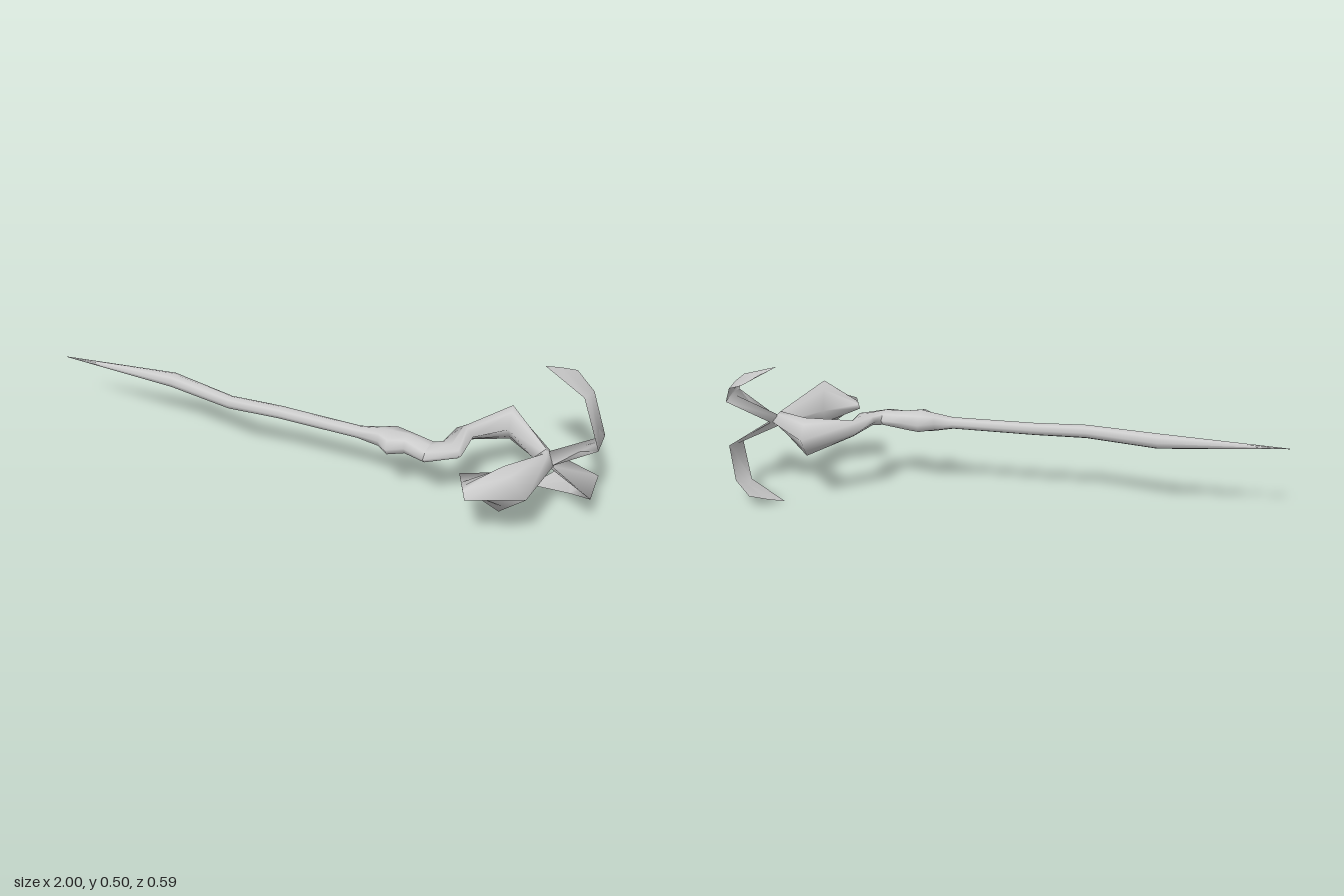
import * as THREE from 'three';

const AXIS_Y = 0.256;

// Skin a list of equal-sized rings of [x, y, z] points, closed or as an open strip
function loft(rings, closed = true) {
  const n = rings[0].length, index = [];
  for (let i = 0; i < rings.length - 1; i++) {
    for (let j = 0; j < (closed ? n : n - 1); j++) {
      const a = i * n + j, b = i * n + (j + 1) % n;
      index.push(a, b, a + n, b, b + n, a + n);
    }
  }
  const g = new THREE.BufferGeometry();
  g.setAttribute('position', new THREE.Float32BufferAttribute(rings.flat(2), 3));
  g.setIndex(index);
  g.computeVertexNormals();
  return g;
}

// Eight-sided ring between two side points in plan, with half height h
// and an optional ridge position c; a sharp ring is a diamond, otherwise round
function ring([ax, az, bx, bz, h, cx = (ax + bx) / 2, cz = (az + bz) / 2], sharp) {
  const side = sharp ? 0.3 : Math.SQRT1_2, rise = sharp ? 0.7 : Math.SQRT1_2;
  return Array.from({ length: 8 }, (_, j) => {
    const k = j % 4 === 0 ? 1 : j % 2 ? side : 0;
    const y = j % 4 === 0 ? 0 : j % 2 ? rise : 1;
    const [px, pz] = j < 2 || j > 6 ? [ax, az] : [bx, bz];
    return [cx + (px - cx) * k, AXIS_Y + (j < 4 ? -h : h) * y, cz + (pz - cz) * k];
  });
}

export function createModel() {
  const group = new THREE.Group();
  const grey = new THREE.MeshStandardMaterial({ color: 0xcccccc, side: THREE.DoubleSide });
  grey.name = 'plain grey';

  const add = (name, geometry) => {
    const mesh = new THREE.Mesh(geometry, grey);
    mesh.name = name;
    group.add(mesh);
  };

  // Long tapering shaft with a knot near the head
  add('shaft', loft([
    [-1, 0.066, -1, 0.064, 0.001],
    [-0.55, 0.07, -0.55, 0.016, 0.028],
    [-0.29, 0.112, -0.29, 0.068, 0.025],
    [-0.1, 0.098, -0.1, 0.052, 0.023],
    [0.2, 0.097, 0.2, 0.052, 0.022],
    [0.28, 0.102, 0.265, 0.04, 0.035],
    [0.32, 0.14, 0.32, 0.01, 0.042],
    [0.375, 0.107, 0.375, 0.025, 0.037],
    [0.455, 0.14, 0.465, 0.037, 0.028],
  ].map((r) => ring(r, false))));

  // Crook that swings back and around
  add('crook', loft([
    [0.455, 0.14, 0.465, 0.037, 0.028],
    [0.567, 0.07, 0.482, 0.02, 0.022],
    [0.57, -0.053, 0.5, -0.085, 0.03],
    [0.67, -0.145, 0.665, -0.243, 0.071, 0.665, -0.195],
    [0.79, -0.02, 0.86, -0.055, 0.034],
  ].map((r, i) => ring(r, i > 1))));

  // Leaf-shaped blade ending in a flat edge
  add('blade', loft([
    [0.79, -0.02, 0.86, -0.055, 0.034],
    [0.785, -0.01, 0.865, -0.01, 0.034],
    [0.715, 0.1, 0.83, 0.21, 0.093, 0.74, 0.187],
    [0.59, 0.16, 0.65, 0.292, 0.001],
  ].map((r) => ring(r, true))));

  // Pair of hooked prongs in one sweep, from the middle out to a tip:
  // front edge, back edge, and the ridge of the outer side
  const half = [
    [[0.858, 0, 0], [0.852, 0, -0.075], [0.79, 0, -0.035]],
    [[1, 0.099, -0.004], [0.998, 0.084, -0.125], [0.994, 0.096, -0.065]],
    [[0.91, 0.2, -0.14], [0.925, 0.172, -0.238], [0.92, 0.189, -0.19]],
    [[0.757, 0.252, -0.2], [0.85, 0.204, -0.295], [0.804, 0.23, -0.248]],
  ];
  const place = (s) => ([x, y, z]) => [x, AXIS_Y + s * y, z];
  const sweep = [
    ...half.slice(1).reverse().map((r) => r.map(place(-1))),
    ...half.map((r) => r.map(place(1))),
  ];
  add('prongFaces', loft(sweep.map(([f, b]) => [f, b]), false));
  add('prongBacks', loft(sweep.map(([f, b, ridge]) => [b, ridge, f]), false));

  return group;
}
